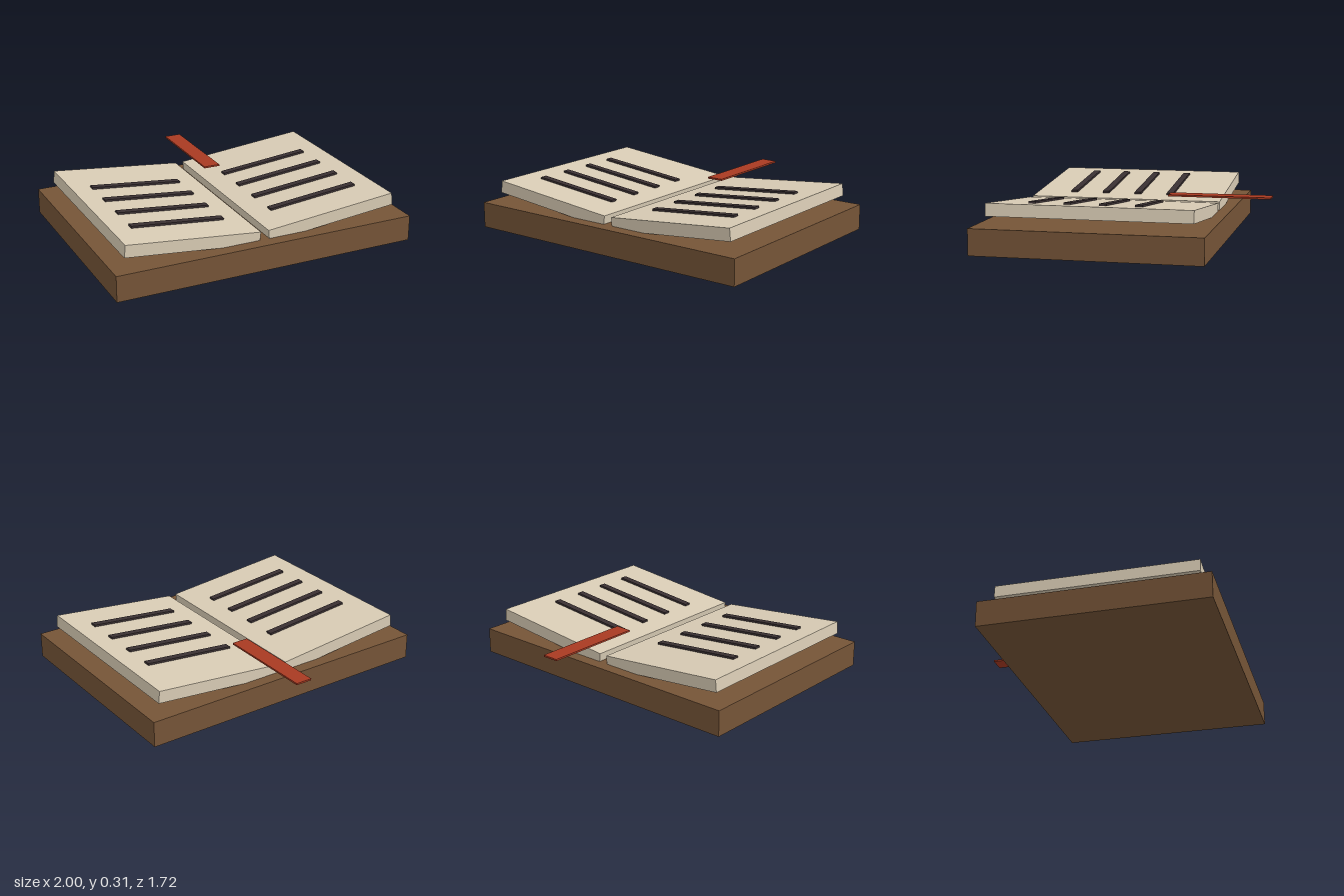
import * as THREE from 'three';

const material = (name, color) => {
  const m = new THREE.MeshStandardMaterial({ color });
  m.name = name;
  return m;
};

export function createModel() {
  const wood = material('brown cover', 0x755437);
  const paper = material('cream paper', 0xd8cbb4);
  const ink = material('dark ink', 0x3a3032);
  const red = material('red ribbon', 0xa83a22);

  const book = new THREE.Group();
  book.name = 'openBook';

  const addBox = (parent, name, mat, size, pos) => {
    const mesh = new THREE.Mesh(new THREE.BoxGeometry(...size), mat);
    mesh.name = name;
    mesh.position.set(...pos);
    parent.add(mesh);
  };

  // Thick cover slab
  addBox(book, 'cover', wood, [2, 0.167, 1.44], [0, 0.0835, 0.14]);

  // Two page blocks rising outwards, each with four lines of writing
  for (const side of [-1, 1]) {
    const half = new THREE.Group();
    half.name = side > 0 ? 'leftPages' : 'rightPages';
    half.position.set(side * 0.471, 0.226, 0.138);
    half.rotation.z = side * 0.1;
    addBox(half, 'pageBlock', paper, [0.885, 0.08, 1.28], [0, 0, 0]);
    for (let i = 0; i < 4; i++) {
      addBox(half, 'writingLine', ink, [0.614, 0.016, 0.045], [side * 0.004, 0.045, -0.28 + i * 0.222]);
    }
    book.add(half);
  }

  // Flat ribbon bookmark running out past the back edge
  addBox(book, 'ribbon', red, [0.11, 0.011, 0.665], [0.108, 0.281, -0.5275]);

  return book;
}
